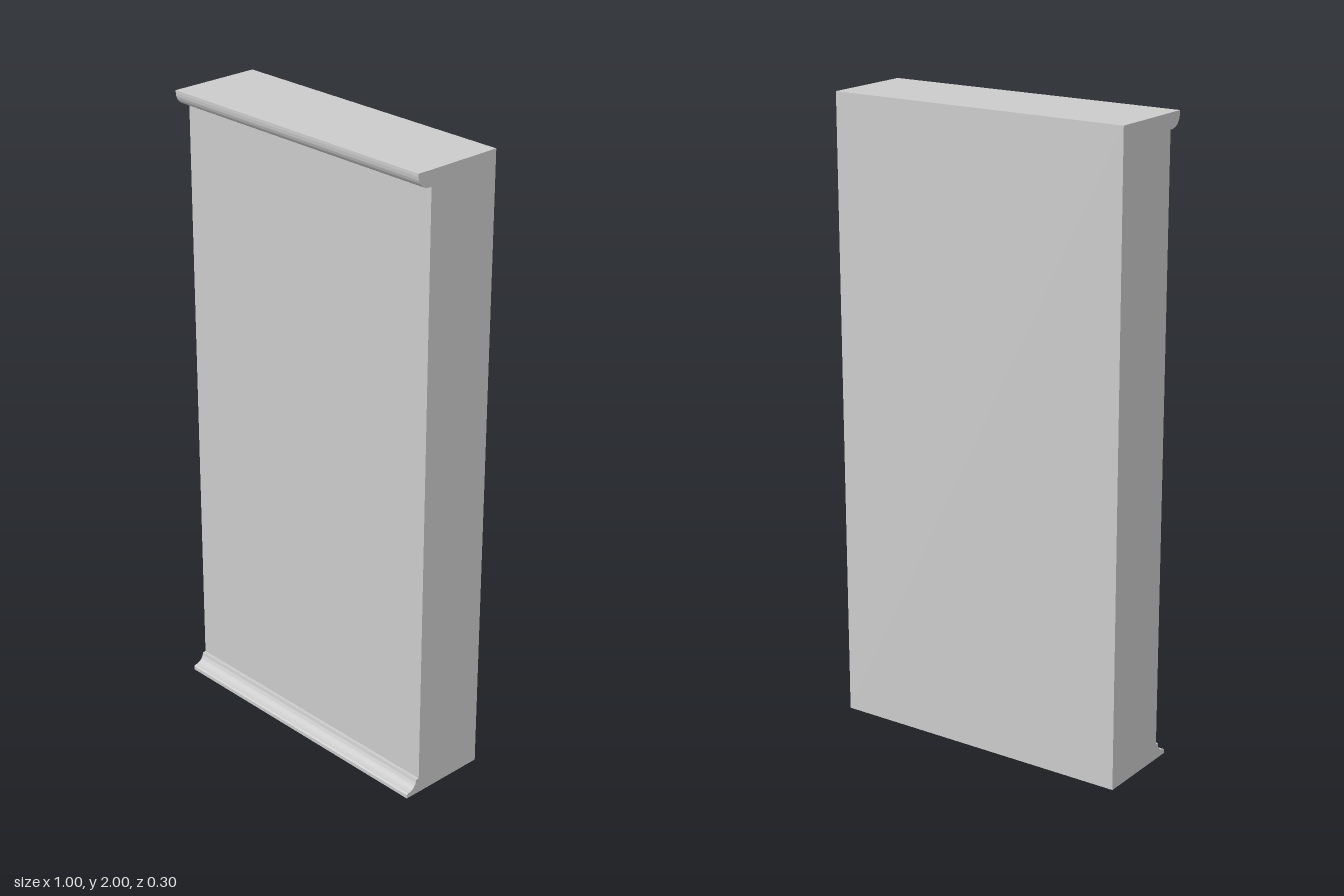
import * as THREE from 'three';
import { toCreasedNormals } from 'three/addons/utils/BufferGeometryUtils.js';

const WIDTH = 1, HEIGHT = 2, BACK = -0.15, FACE = 0.1, LIP = 0.15;

// Side profile (z, y): a slab with a cove at the foot and a rounded lip at the head
function createProfile() {
  const s = new THREE.Shape();
  s.moveTo(BACK, 0);
  s.lineTo(LIP, 0);
  // foot moulding: small fillet, concave cove, small step back to the face
  s.lineTo(LIP, 0.012);
  s.lineTo(0.145, 0.016);
  s.absellipse(0.145, 0.05, 0.034, 0.034, -Math.PI / 2, -Math.PI, true);
  s.lineTo(FACE, 0.05);
  // head moulding: convex quarter round
  s.lineTo(FACE, HEIGHT - 0.048);
  s.lineTo(0.11, HEIGHT - 0.048);
  s.absellipse(0.11, HEIGHT - 0.008, 0.04, 0.04, -Math.PI / 2, 0, false);
  s.lineTo(LIP, HEIGHT);
  s.lineTo(BACK, HEIGHT);
  s.closePath();
  return s;
}

export function createModel() {
  const group = new THREE.Group();
  group.name = 'mouldedPanel';

  // Sweep the profile across the width
  const geometry = new THREE.ExtrudeGeometry(createProfile(), {
    depth: WIDTH, bevelEnabled: false, curveSegments: 12,
  });
  geometry.rotateY(-Math.PI / 2);
  geometry.translate(WIDTH / 2, 0, 0);

  const panel = new THREE.Mesh(
    toCreasedNormals(geometry, Math.PI / 7),
    new THREE.MeshStandardMaterial({ color: 0xcccccc }),
  );
  panel.name = 'panel';
  group.add(panel);
  return group;
}
